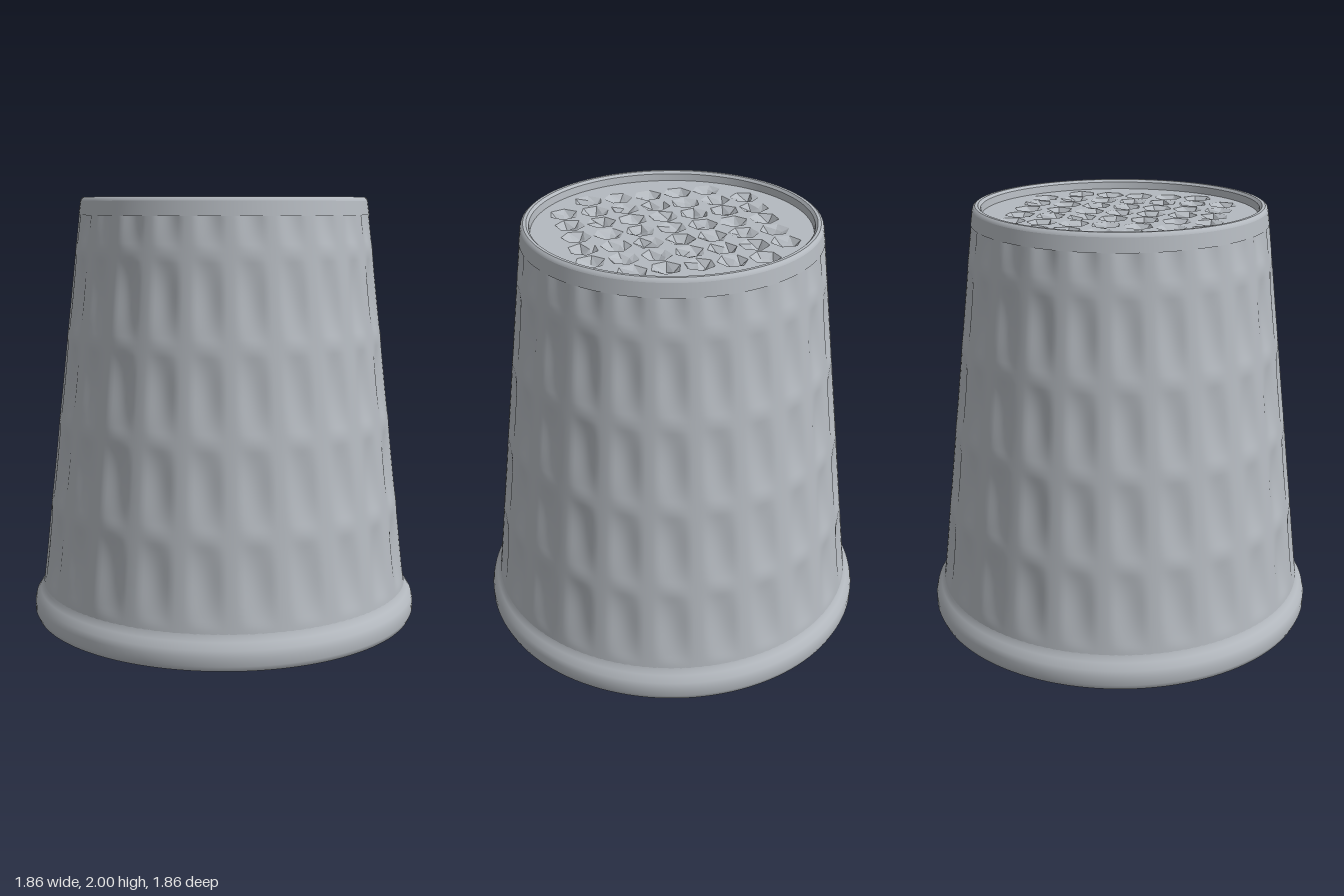
import * as THREE from 'three';
import { mergeVertices } from 'three/addons/utils/BufferGeometryUtils.js';

const metal = new THREE.MeshStandardMaterial({ color: 0xb4b9bf });
metal.name = 'steel grey';

function lathe(points, segments, from = 0) {
  return new THREE.LatheGeometry(points.map(([r, y]) => new THREE.Vector2(r, y)), segments, from);
}

// Small seeded generator for the uneven pits
function seeded(seed) {
  return () => {
    seed = (seed * 16807) % 2147483647;
    return seed / 2147483647;
  };
}

// Tapered wall with 24 columns of long, narrow, shallow dimples
function dimpledWall() {
  const y0 = 0.13, y1 = 1.92, r0 = 0.888, r1 = 0.684, rows = 90;
  const points = [];
  for (let i = 0; i <= rows; i++) {
    const t = i / rows;
    points.push([r0 + (r1 - r0) * t, y0 + (y1 - y0) * t]);
  }
  const geo = lathe(points, 288);
  const p = geo.attributes.position;
  const step = Math.PI / 12;
  for (let i = 0; i < p.count; i++) {
    const x = p.getX(i), y = p.getY(i), z = p.getZ(i);
    const angle = Math.atan2(x, z);
    const da = (angle - Math.round(angle / step) * step) / (step * 0.37);
    const dy = (y - (0.36 + 0.4 * Math.max(0, Math.round((y - 0.36) / 0.4)))) / 0.18;
    const across = Math.max(0, 1 - da * da), along = Math.max(0, 1 - dy * dy);
    const k = 1 - 0.017 * Math.pow(across, 1.5) * along / Math.hypot(x, z);
    p.setXYZ(i, x * k, y, z * k);
  }
  geo.deleteAttribute('uv');
  geo.deleteAttribute('normal');
  const welded = mergeVertices(geo, 1e-5);
  welded.computeVertexNormals();
  return welded;
}

export function createModel() {
  const group = new THREE.Group();
  group.name = 'thimble';
  const add = (name, geo, parent = group) => {
    const mesh = new THREE.Mesh(geo, metal);
    mesh.name = name;
    parent.add(mesh);
    return mesh;
  };

  add('dimpledWall', dimpledWall());

  // Rolled lip around the open bottom
  add('bottomLip', lathe([
    [0.8, 0.03], [0.808, 0.01], [0.825, 0], [0.9, 0], [0.919, 0.006], [0.929, 0.03],
    [0.929, 0.07], [0.922, 0.098], [0.902, 0.128], [0.888, 0.145], [0.882, 0.17],
  ], 128));

  // Raised rim around the top, with a small bevel
  add('rimUnderside', lathe([[0.655, 1.918], [0.685, 1.918]], 128));
  add('rimBand', lathe([[0.685, 1.918], [0.676, 1.982]], 128));
  add('rimBevel', lathe([[0.676, 1.982], [0.672, 1.993], [0.662, 2]], 128));
  add('rimTop', lathe([[0.662, 2], [0.648, 2]], 128));
  add('rimInnerBevel', lathe([[0.648, 2], [0.637, 1.988]], 128));
  add('rimInside', lathe([[0.637, 1.988], [0.632, 1.95]], 128));

  // Hollow inside
  add('innerWall', lathe([[0.6, 1.88], [0.8, 0.03]], 128));
  add('innerCeiling', lathe([[0, 1.88], [0.6, 1.88]], 128));

  // Recessed cap pierced by a 7 x 7 grid of pits without its corners
  const capY = 1.955, pitch = 0.145, pitR = 0.068, sides = 6;
  const cap = new THREE.Shape();
  cap.absarc(0, 0, 0.636, 0, Math.PI * 2);
  const pits = new THREE.Group();
  pits.name = 'capPits';
  group.add(pits);
  const random = seeded(41);
  for (let i = -3; i <= 3; i++) {
    for (let j = -3; j <= 3; j++) {
      if (Math.abs(i) === 3 && Math.abs(j) === 3) continue;
      const cx = i * pitch, cz = j * pitch, turn = random() * 6.28;
      const corners = [];
      for (let k = 0; k < sides; k++) {
        const a = turn + k * Math.PI * 2 / sides;
        corners.push(new THREE.Vector2(cx + pitR * Math.sin(a), -cz - pitR * Math.cos(a)));
      }
      cap.holes.push(new THREE.Path(corners));

      // Faceted bowl with an uneven middle ring
      const bowl = lathe([[pitR, 0], [0.036, -0.024], [0, -0.038]], sides, turn);
      const p = bowl.attributes.position;
      const drops = Array.from({ length: sides }, () => (random() - 0.5) * 0.028);
      for (let v = 0; v < p.count; v++) {
        if (v % 3 === 1) p.setY(v, p.getY(v) + drops[Math.floor(v / 3) % sides]);
      }
      const faceted = bowl.toNonIndexed();
      faceted.computeVertexNormals();
      add('capPit', faceted, pits).position.set(cx, capY, cz);
    }
  }
  const plate = add('capPlate', new THREE.ShapeGeometry(cap, 64));
  plate.rotation.x = -Math.PI / 2;
  plate.position.y = capY;

  return group;
}
